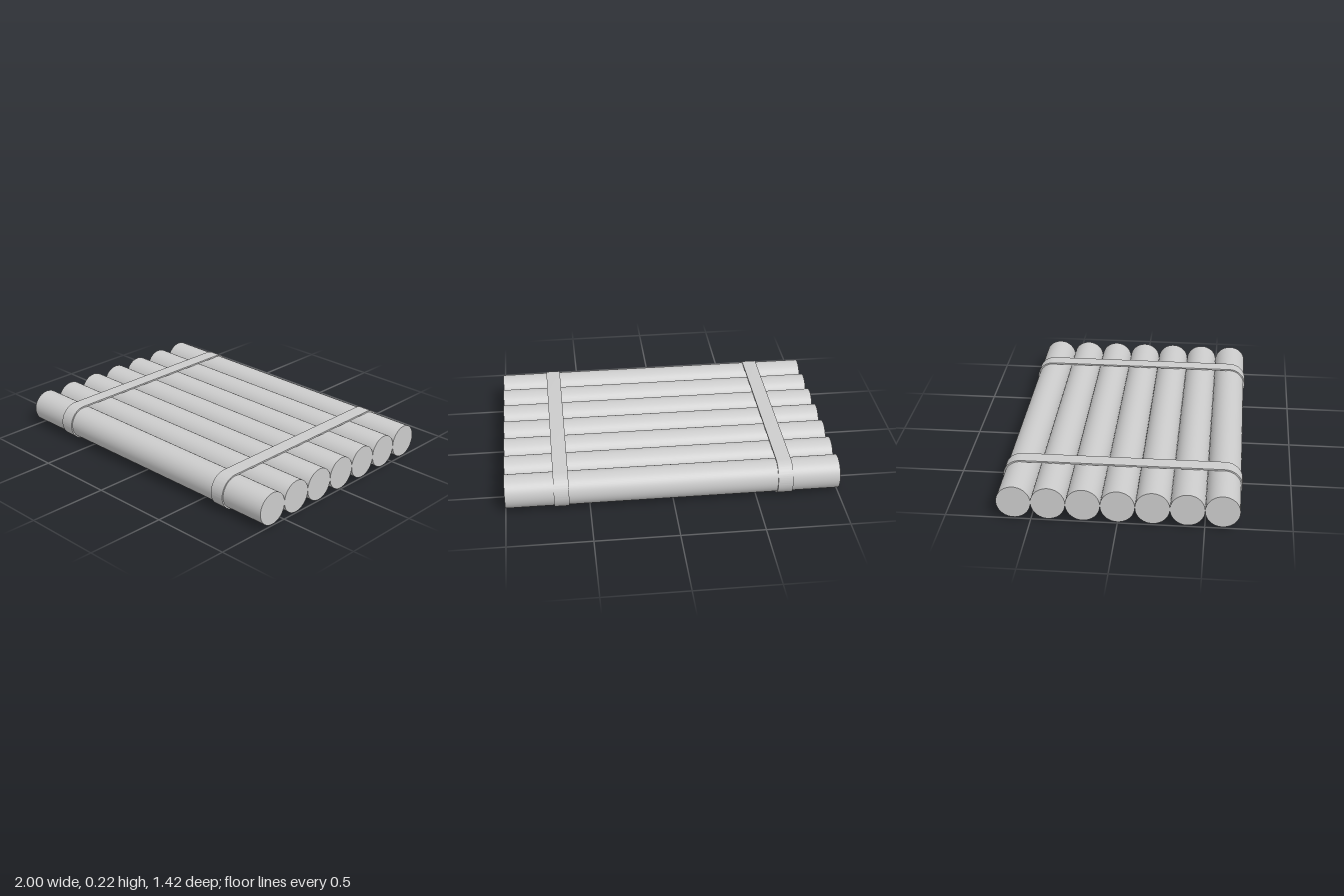
import * as THREE from 'three';
import { toCreasedNormals } from 'three/addons/utils/BufferGeometryUtils.js';

const LOGS = 7, RADIUS = 0.1, SPACING = 0.2;
const HALF = SPACING * (LOGS - 1) / 2; // centre of the outermost logs
const OUTER = 0.108, INNER = 0.098; // strap radii around the outer logs

// Adds a rounded-end loop of the given radius to a shape or path
function stadium(path, r) {
  path.moveTo(-HALF, -r);
  path.lineTo(HALF, -r);
  path.absarc(HALF, 0, r, -Math.PI / 2, Math.PI / 2, false);
  path.lineTo(-HALF, r);
  path.absarc(-HALF, 0, r, Math.PI / 2, Math.PI * 1.5, false);
  return path;
}

export function createModel() {
  const group = new THREE.Group();
  const material = new THREE.MeshStandardMaterial({ color: 0xcccccc });

  // Row of logs lying along x
  const logGeometry = new THREE.CylinderGeometry(RADIUS, RADIUS, 2, 64);
  logGeometry.rotateZ(Math.PI / 2);
  for (let i = 0; i < LOGS; i++) {
    const log = new THREE.Mesh(logGeometry, material);
    log.name = `log${i + 1}`;
    log.position.set(0, OUTER, -HALF + i * SPACING);
    group.add(log);
  }

  // Two flat straps wrapped around all the logs
  const width = 0.09;
  const shape = stadium(new THREE.Shape(), OUTER);
  shape.holes.push(stadium(new THREE.Path(), INNER));
  let strapGeometry = new THREE.ExtrudeGeometry(shape, {
    depth: width, bevelEnabled: false, curveSegments: 32,
  });
  strapGeometry.translate(0, 0, -width / 2);
  strapGeometry.rotateY(Math.PI / 2);
  strapGeometry = toCreasedNormals(strapGeometry, Math.PI / 6);
  for (const side of [-1, 1]) {
    const strap = new THREE.Mesh(strapGeometry, material);
    strap.name = side > 0 ? 'leftStrap' : 'rightStrap';
    strap.position.set(side * 0.668, OUTER, 0);
    group.add(strap);
  }
  return group;
}
